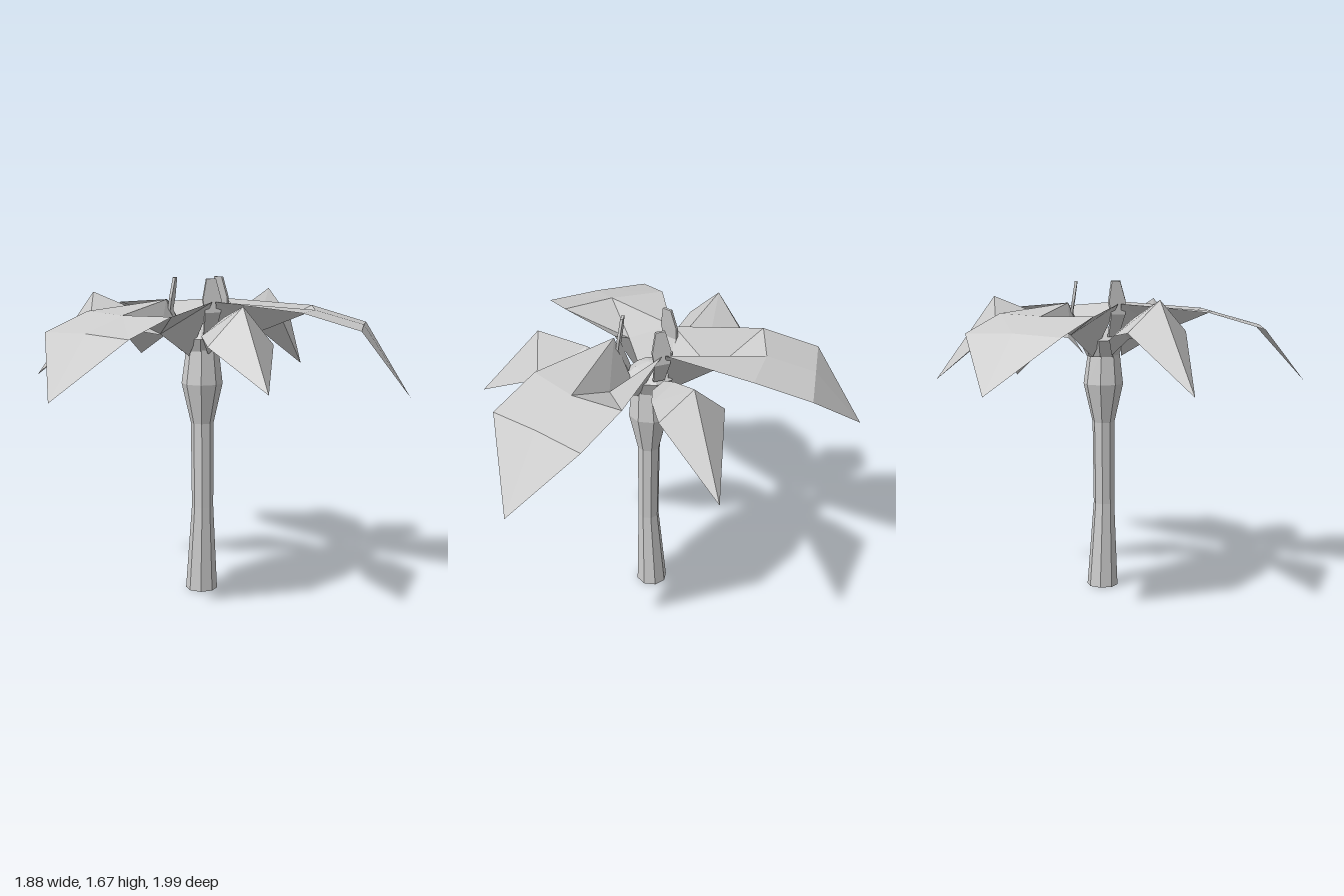
import * as THREE from 'three';

const grey = new THREE.MeshStandardMaterial({ color: 0xcccccc, side: THREE.DoubleSide });
grey.name = 'paleGrey';
const CX = 0.02, CZ = 0.09; // flower axis

// Faceted mesh from corner points and a list of triangles
function facets(name, points, tris) {
  const pos = tris.flatMap((t) => t.flatMap((i) => points[i]));
  const geo = new THREE.BufferGeometry();
  geo.setAttribute('position', new THREE.Float32BufferAttribute(pos, 3));
  geo.computeVertexNormals();
  const mesh = new THREE.Mesh(geo, grey);
  mesh.name = name;
  return mesh;
}

// Leaf: root point, rows of [distance, half width, ridge height, edge distance, edge height], tip point
function petal(name, angle, root, rows, tip) {
  const s = Math.sin(angle), c = Math.cos(angle);
  const at = (d, w, y) => [CX + d * s + w * c, y, CZ + d * c - w * s];
  const points = [at(root[0], 0, root[1])];
  for (const [d, w, y, de, ye] of rows) points.push(at(de, -w, ye), at(d, 0, y), at(de, w, ye));
  points.push(at(tip[0], 0, tip[1]));
  const tris = [[0, 2, 1], [0, 3, 2]];
  for (let r = 0; r < rows.length - 1; r++) {
    const a = 1 + r * 3, b = a + 3;
    for (const k of [0, 1]) tris.push([a + k, a + k + 1, b + k + 1], [a + k, b + k + 1, b + k]);
  }
  const e = points.length - 4;
  tris.push([e, e + 1, e + 3], [e + 1, e + 2, e + 3]);
  return facets(name, points, tris);
}

// Eight sided tube through levels of [y, radius, z centre], flat side to the front
function tube(name, levels) {
  const n = 8, points = [], tris = [];
  for (const [y, r, z] of levels)
    for (let i = 0; i < n; i++) {
      const a = ((i + 0.5) / n) * Math.PI * 2;
      points.push([CX + Math.sin(a) * r, y, z + Math.cos(a) * r]);
    }
  for (let l = 0; l < levels.length - 1; l++)
    for (let i = 0; i < n; i++) {
      const a = l * n + i, b = l * n + ((i + 1) % n);
      tris.push([a, b, b + n], [a, b + n, a + n]);
    }
  const top = (levels.length - 1) * n;
  for (let i = 1; i < n - 1; i++) tris.push([0, i + 1, i], [top, top + i, top + i + 1]);
  return facets(name, points, tris);
}

// Narrow upright blade, bent outward then inward
function stamen(name, angle) {
  const levels = [[1.38, 0.115, 0.03], [1.5, 0.165, 0.042], [1.565, 0.155, 0.05], [1.67, 0.14, 0.025]];
  const s = Math.sin(angle), c = Math.cos(angle), points = [], tris = [];
  for (const [y, d, w] of levels)
    for (const [u, v] of [[-w, -0.007], [w, -0.007], [w, 0.007], [-w, 0.007]])
      points.push([CX + (d + v) * s + u * c, y, CZ + (d + v) * c - u * s]);
  for (let l = 0; l < levels.length - 1; l++)
    for (let i = 0; i < 4; i++) {
      const a = l * 4 + i, b = l * 4 + ((i + 1) % 4);
      tris.push([a, b + 4, b], [a, a + 4, b + 4]);
    }
  tris.push([12, 14, 13], [12, 15, 14]);
  return facets(name, points, tris);
}

export function createModel() {
  const group = new THREE.Group();
  group.name = 'flower';

  // Stem swelling under the bloom, and the dome at its heart
  group.add(tube('stem', [[0, 0.084, 0.095], [0.46, 0.057, 0.11], [0.91, 0.06, 0.103],
    [1.12, 0.108, 0.1], [1.3, 0.085, 0.105]]));
  group.add(tube('heart', [[1.27, 0.085, CZ], [1.36, 0.13, CZ], [1.41, 0.08, CZ], [1.43, 0.01, CZ]]));

  // Three broad petals that cup at the root, three narrow ridged ones between
  const third = (Math.PI * 2) / 3;
  const broadTips = [1.16, 1.14, 1.07];
  for (let i = 0; i < 3; i++) {
    group.add(petal('broadPetal', Math.PI + i * third * -1 + 0, [0.1, 1.27], [
      [0.32, 0.155, 1.4, 0.1, 1.555],
      [0.59, 0.28, 1.51, 0.55, 1.515],
      [0.84, 0.28, 1.44, 0.84, 1.43],
    ], [1.085, broadTips[(3 - i) % 3]]));
    const back = i > 0;
    group.add(petal('narrowPetal', i * third, [0.1, 1.28], [
      [0.19, 0.06, 1.42, 0.18, 1.37],
      [0.33, 0.12, 1.49, 0.33, 1.4],
      [0.58, 0.17, back ? 1.59 : 1.56, 0.555, back ? 1.43 : 1.37],
    ], [0.9, back ? 1.14 : 1.18]));
    group.add(stamen('stamen', i * third));
  }
  return group;
}
